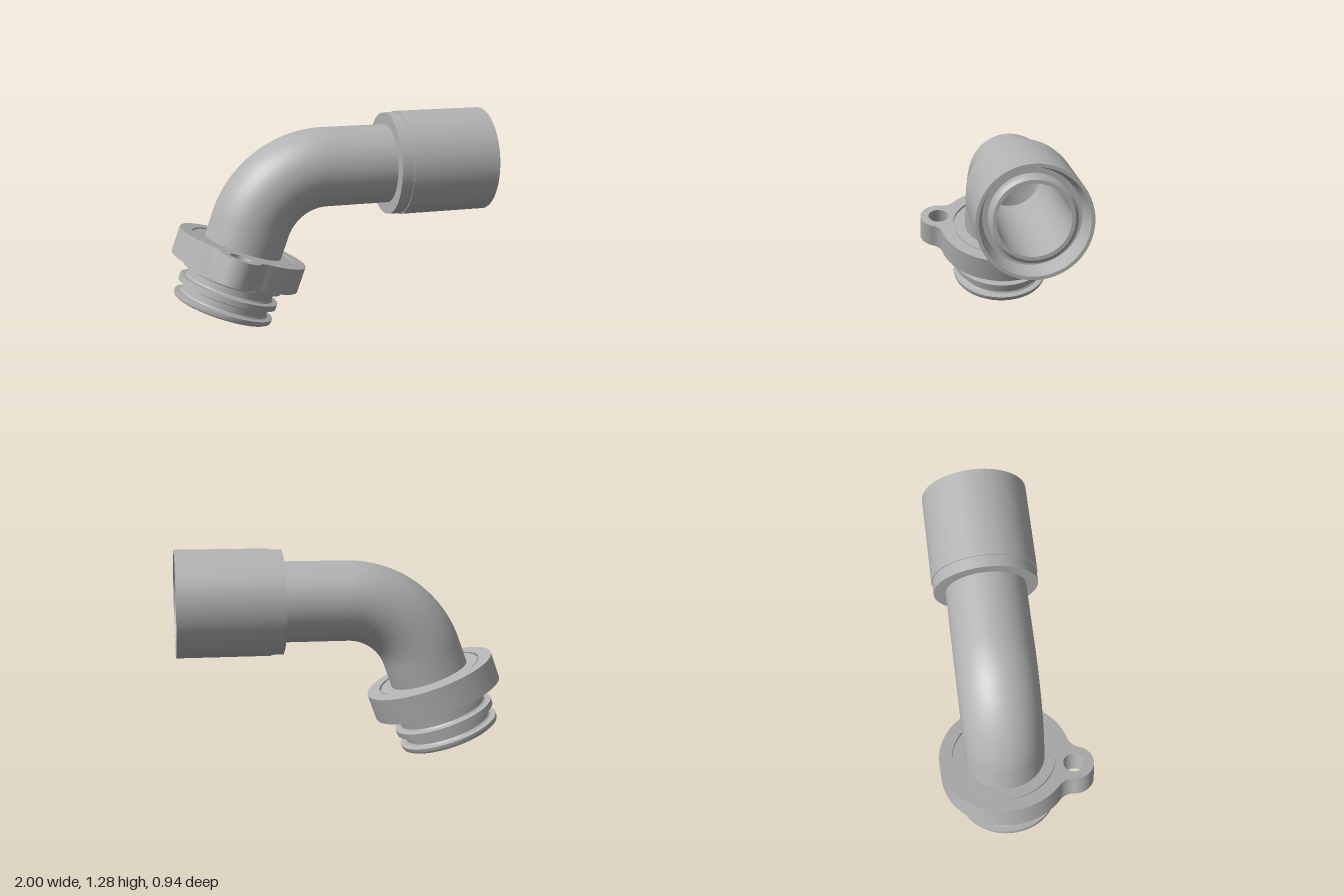
import * as THREE from 'three';
import { toCreasedNormals } from 'three/addons/utils/BufferGeometryUtils.js';

const TILT = THREE.MathUtils.degToRad(20); // lean of the lower end from vertical
const BEND = Math.PI / 2 - TILT;
const BEND_R = 0.5;
const AXIS_Y = 0.96, AXIS_Z = -0.066, BEND_X = -0.04;
const BASE = new THREE.Vector3(-0.7, 0.108, AXIS_Z);
const LOWER = 0.556; // straight run below the bend
const ARC = BEND_R * BEND;

// Pipe centre line: tilted straight, bend, horizontal straight; s is distance from the base
class PipeAxis extends THREE.Curve {
  constructor(from, to) {
    super();
    this.from = from;
    this.to = to;
  }
  getPoint(u, target = new THREE.Vector3()) {
    const s = this.from + (this.to - this.from) * u;
    if (s < LOWER) {
      return target.set(BASE.x + s * Math.sin(TILT), BASE.y + s * Math.cos(TILT), AXIS_Z);
    }
    if (s < LOWER + ARC) {
      const a = BEND - (s - LOWER) / BEND_R;
      return target.set(BEND_X - BEND_R * Math.sin(a), AXIS_Y - BEND_R + BEND_R * Math.cos(a), AXIS_Z);
    }
    return target.set(BEND_X + s - LOWER - ARC, AXIS_Y, AXIS_Z);
  }
}
const sAtX = (x) => LOWER + ARC + x - BEND_X;

// Main ring and lug joined by concave fillets, with a bore and a bolt hole
function flangeShape() {
  const ringR = 0.405, lugR = 0.12, fillet = 0.1;
  const lug = new THREE.Vector2(-0.115, -0.415);
  const d = lug.length(), dir = lug.angle();
  const A = ringR + fillet, B = lugR + fillet;
  const spread = Math.acos((A * A + d * d - B * B) / (2 * A * d));
  const centre = (sign) => new THREE.Vector2(A * Math.cos(dir + sign * spread), A * Math.sin(dir + sign * spread));
  const c1 = centre(1), c2 = centre(-1);
  const angle = (from, to) => Math.atan2(to.y - from.y, to.x - from.x);
  const shape = new THREE.Shape();
  shape.absarc(0, 0, ringR, dir + spread, dir - spread + Math.PI * 2, false);
  shape.absarc(c2.x, c2.y, fillet, dir - spread + Math.PI, angle(c2, lug), true);
  shape.absarc(lug.x, lug.y, lugR, angle(lug, c2), angle(lug, c1), false);
  shape.absarc(c1.x, c1.y, fillet, angle(c1, lug), dir + spread + Math.PI, true);
  const hole = (x, y, r) => shape.holes.push(new THREE.Path().absarc(x, y, r, 0, Math.PI * 2, true));
  hole(0, 0, 0.325);
  hole(lug.x, lug.y, 0.067);
  return shape;
}

export function createModel() {
  const grey = new THREE.MeshStandardMaterial({ color: 0xb2b2b2, side: THREE.DoubleSide });
  grey.name = 'grey';
  const model = new THREE.Group();
  model.name = 'pipeElbow';

  const add = (parent, name, geometry) => {
    const mesh = new THREE.Mesh(toCreasedNormals(geometry, 0.5), grey);
    mesh.name = name;
    parent.add(mesh);
    return mesh;
  };
  const lathe = (points) => new THREE.LatheGeometry(points.map(([r, h]) => new THREE.Vector2(r, h)), 80);

  // Bent pipe: outer wall and bore
  add(model, 'pipeWall', new THREE.TubeGeometry(new PipeAxis(0.38, sAtX(0.37)), 80, 0.245, 64));
  add(model, 'pipeBore', new THREE.TubeGeometry(new PipeAxis(0.36, sAtX(0.96)), 90, 0.205, 64));

  // Hose sleeve with stepped collar, annular pocket and chamfered inner pipe end
  const sleeve = add(model, 'sleeve', lathe([
    [0.24, 0.36], [0.318, 0.36], [0.318, 0.435], [0.324, 0.435], [0.324, 1],
    [0.304, 1], [0.275, 0.88], [0.245, 0.88], [0.245, 0.945], [0.226, 0.96], [0.205, 0.96],
  ]));
  sleeve.rotation.z = -Math.PI / 2;
  sleeve.position.set(0, AXIS_Y, AXIS_Z);

  // Tilted lower end
  const lowerEnd = new THREE.Group();
  lowerEnd.name = 'lowerEnd';
  lowerEnd.position.copy(BASE);
  lowerEnd.rotation.z = -TILT;
  model.add(lowerEnd);

  // Grooved spigot: bore, lip, two seal grooves, collar and inner disc of the flange
  add(lowerEnd, 'spigot', lathe([
    [0.205, 0.36], [0.245, 0.3], [0.245, 0.01], [0.255, 0], [0.298, 0], [0.309, 0.006], [0.314, 0.018],
    [0.314, 0.036], [0.28, 0.04], [0.272, 0.05], [0.272, 0.09], [0.28, 0.099],
    [0.314, 0.102], [0.314, 0.138], [0.28, 0.142], [0.272, 0.152], [0.272, 0.19], [0.28, 0.199],
    [0.315, 0.203], [0.315, 0.27], [0.325, 0.27], [0.325, 0.395], [0.315, 0.395],
    [0.315, 0.408], [0.24, 0.408],
  ]));

  // Mounting flange with bolt lug
  const flange = new THREE.ExtrudeGeometry(flangeShape(), { depth: 0.162, bevelEnabled: false, curveSegments: 48 });
  flange.rotateX(-Math.PI / 2);
  add(lowerEnd, 'flange', flange).position.y = 0.25;

  return model;
}
